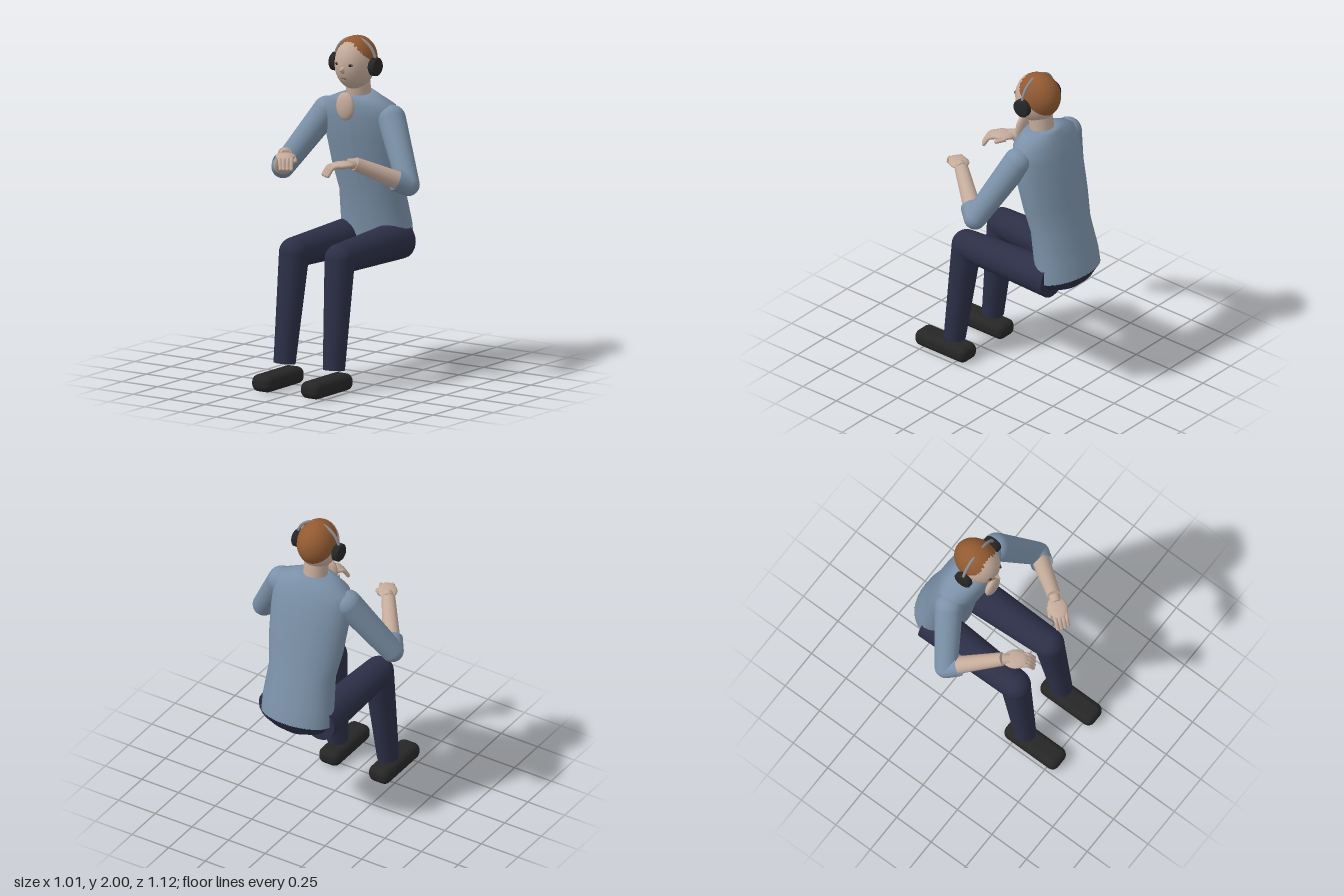
import * as THREE from 'three';
import { RoundedBoxGeometry } from 'three/addons/geometries/RoundedBoxGeometry.js';

const mat = (color) => new THREE.MeshStandardMaterial({ color, side: THREE.DoubleSide });
const skin = mat(0xc4ab9b), shirt = mat(0x7b91a8), trousers = mat(0x2c2f47);
const hair = mat(0x925a32), black = mat(0x262626), metal = mat(0x8a8a8a), brown = mat(0x7a5a45);
const V = (x, y, z) => new THREE.Vector3(x, y, z);

function add(parent, name, geometry, material, pos) {
  const m = new THREE.Mesh(geometry, material);
  m.name = name;
  if (pos) m.position.copy(pos);
  parent.add(m);
  return m;
}

// Ellipsoid at a point
function blob(parent, name, material, pos, rx, ry, rz) {
  const m = add(parent, name, new THREE.SphereGeometry(1, 24, 16), material, pos);
  m.scale.set(rx, ry, rz);
  return m;
}

// Tapered cylinder between two points
function limb(parent, name, material, a, b, ra, rb, open = false) {
  const dir = b.clone().sub(a);
  const m = add(parent, name, new THREE.CylinderGeometry(rb, ra, dir.length(), 20, 1, open),
    material, a.clone().add(b).multiplyScalar(0.5));
  m.quaternion.setFromUnitVectors(V(0, 1, 0), dir.normalize());
  return m;
}

// Skin over elliptical rings, bottom to top: [y, half width, z back, z front, forward drop]
function loft(rings, seg = 28) {
  const pos = [], idx = [];
  rings.forEach(([y, w, zb, zf, drop]) => {
    for (let i = 0; i <= seg; i++) {
      const a = (i / seg) * Math.PI * 2, c = Math.cos(a);
      pos.push(w * Math.sin(a), y - drop * c, (zb + zf) / 2 + ((zf - zb) / 2) * c);
    }
  });
  for (let r = 0; r < rings.length - 1; r++) {
    for (let i = 0; i < seg; i++) {
      const a = r * (seg + 1) + i, b = a + seg + 1;
      idx.push(a, a + 1, b, b, a + 1, b + 1);
    }
  }
  const g = new THREE.BufferGeometry();
  g.setAttribute('position', new THREE.Float32BufferAttribute(pos, 3));
  g.setIndex(idx);
  g.computeVertexNormals();
  return g;
}

function buildTorso(root) {
  add(root, 'torso', loft([
    [0.765, 0.225, -0.56, -0.25, 0.035],
    [0.87, 0.226, -0.54, -0.24, 0.02],
    [1.06, 0.212, -0.487, -0.21, 0.01],
    [1.22, 0.24, -0.45, -0.17, 0],
    [1.40, 0.253, -0.41, -0.125, 0],
    [1.52, 0.253, -0.375, -0.105, 0],
    [1.60, 0.235, -0.345, -0.10, 0],
    [1.645, 0.13, -0.315, -0.115, 0.005],
    [1.66, 0.085, -0.30, -0.13, 0.01],
    [1.655, 0.001, -0.22, -0.21, 0],
  ]), shirt);
  add(root, 'pelvis', loft([
    [0.675, 0.001, -0.40, -0.39, 0],
    [0.68, 0.10, -0.47, -0.31, 0.005],
    [0.71, 0.18, -0.52, -0.27, 0.02],
    [0.768, 0.225, -0.56, -0.25, 0.035],
  ]), trousers);
}

function buildHead(root) {
  limb(root, 'neck', skin, V(0, 1.60, -0.215), V(0, 1.76, -0.195), 0.074, 0.07);
  blob(root, 'collarSkin', skin, V(0, 1.598, -0.07), 0.061, 0.083, 0.028);
  const head = new THREE.Group();
  head.name = 'head';
  root.add(head);
  blob(head, 'face', skin, V(0, 1.838, -0.168), 0.113, 0.152, 0.13);

  // Hair cap, tipped back so it reaches the nape
  const cap = add(head, 'hair', new THREE.SphereGeometry(0.137, 32, 16, 0, Math.PI * 2, 0, Math.PI * 0.52),
    hair, V(0, 1.86, -0.186));
  cap.rotation.x = -0.66;
  cap.scale.x = 0.83;

  const nose = add(head, 'nose', new THREE.ConeGeometry(0.026, 0.055, 16), skin, V(0, 1.817, -0.038));
  nose.rotation.x = Math.PI / 2;
  nose.scale.z = 1.5;
  blob(head, 'mouth', brown, V(0, 1.765, -0.054), 0.02, 0.004, 0.006);
  for (const s of [-1, 1]) {
    blob(head, 'eyeSocket', brown, V(s * 0.046, 1.848, -0.056), 0.016, 0.01, 0.008);
    blob(head, 'eye', black, V(s * 0.046, 1.847, -0.05), 0.008, 0.008, 0.008);
  }

  // Headphones
  const band = add(head, 'headband', new THREE.TorusGeometry(0.141, 0.009, 10, 36, Math.PI), metal, V(0, 1.85, -0.175));
  band.scale.y = 0.96;
  for (const s of [-1, 1]) {
    const cup = add(head, 'earCup', new THREE.LatheGeometry(
      [[0, -0.023], [0.044, -0.023], [0.054, -0.014], [0.054, 0.014], [0.044, 0.023], [0, 0.023]]
        .map(([r, y]) => new THREE.Vector2(r, y)), 28), black, V(s * 0.137, 1.83, -0.175));
    cup.rotation.z = -Math.PI / 2;
  }
}

function buildArm(root, s) {
  const arm = new THREE.Group();
  arm.name = s > 0 ? 'leftArm' : 'rightArm';
  root.add(arm);
  const P = (x, y, z) => V(s * x, y, z);
  const shoulder = P(0.225, 1.525, -0.215), elbow = P(0.437, 1.19, -0.072), wrist = P(0.245, 1.335, 0.19);
  const cuffEnd = elbow.clone().lerp(wrist, 0.24);
  blob(arm, 'shoulder', shirt, shoulder, 0.083, 0.083, 0.083);
  limb(arm, 'upperSleeve', shirt, shoulder, elbow, 0.083, 0.067, true);
  blob(arm, 'elbow', shirt, elbow, 0.067, 0.067, 0.067);
  limb(arm, 'cuff', shirt, elbow, cuffEnd, 0.067, 0.066, true);
  limb(arm, 'forearm', skin, elbow, wrist, 0.055, 0.04);

  // Hand: flattened palm, four drooping fingers and a thumb
  limb(arm, 'wrist', skin, wrist, P(0.218, 1.337, 0.225), 0.033, 0.03);
  const palm = blob(arm, 'palm', skin, P(0.2, 1.333, 0.25), 0.058, 0.022, 0.074);
  palm.rotation.y = -s * 0.62;
  for (let i = 0; i < 4; i++) {
    const t = i / 3;
    const bx = 0.21 - 0.06 * t, bz = 0.3 - 0.04 * t;
    const tx = 0.166 - 0.054 * t, tz = 0.357 - 0.038 * t - (i === 0 ? 0.006 : 0);
    const path = new THREE.CatmullRomCurve3([
      P(bx, 1.333, bz),
      P(bx * 0.45 + tx * 0.55, 1.325, bz * 0.45 + tz * 0.55),
      P(tx, 1.282, tz),
    ]);
    add(arm, 'finger', new THREE.TubeGeometry(path, 10, 0.0115, 10), skin);
    blob(arm, 'fingertip', skin, P(tx, 1.282, tz), 0.0115, 0.0115, 0.0115);
  }
  limb(arm, 'thumb', skin, P(0.175, 1.33, 0.208), P(0.135, 1.315, 0.245), 0.016, 0.012);
  blob(arm, 'thumbTip', skin, P(0.135, 1.315, 0.245), 0.012, 0.012, 0.012);
}

function buildLeg(root, s) {
  const leg = new THREE.Group();
  leg.name = s > 0 ? 'leftLeg' : 'rightLeg';
  root.add(leg);
  const hip = V(s * 0.145, 0.772, -0.41), knee = V(s * 0.159, 0.77, 0.22), ankle = V(s * 0.172, 0.13, 0.3);
  limb(leg, 'thigh', trousers, hip, knee, 0.113, 0.089);
  blob(leg, 'knee', trousers, knee, 0.088, 0.089, 0.089);
  limb(leg, 'shin', trousers, knee, ankle, 0.088, 0.064);
  add(leg, 'shoe', new RoundedBoxGeometry(0.14, 0.1, 0.38, 4, 0.042), black, V(s * 0.17, 0.05, 0.37));
}

export function createModel() {
  const root = new THREE.Group();
  root.name = 'seatedFigure';
  buildTorso(root);
  buildHead(root);
  for (const s of [-1, 1]) {
    buildArm(root, s);
    buildLeg(root, s);
  }
  return root;
}
